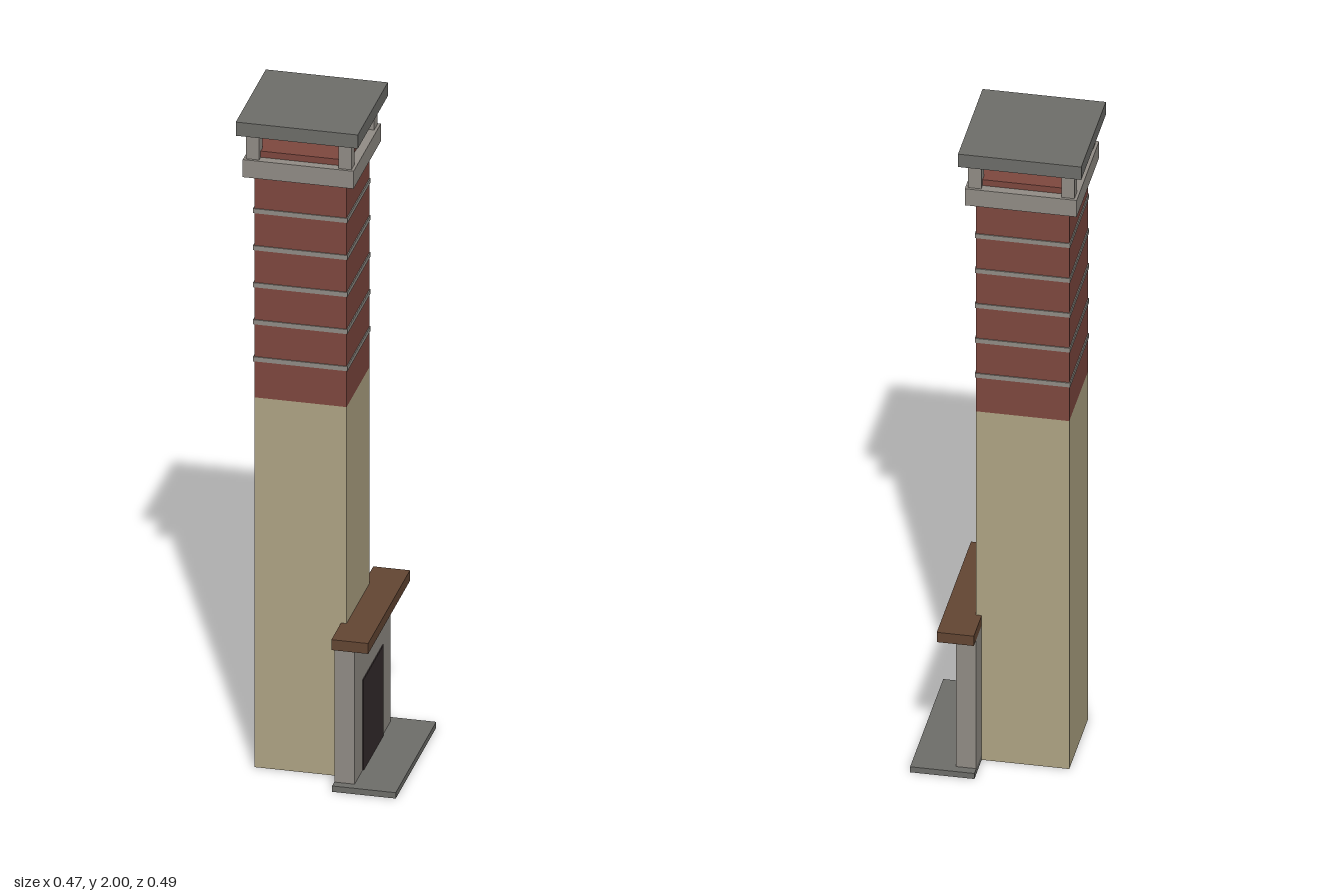
import * as THREE from 'three';

const material = (name, color) => {
  const m = new THREE.MeshStandardMaterial({ color });
  m.name = name;
  return m;
};

export function createModel() {
  const model = new THREE.Group();
  model.name = 'chimneyWithFireplace';

  const plaster = material('plaster', 0xb0a585);
  const brick = material('brick', 0x7f483f);
  const stone = material('paleStone', 0x928d86);
  const slab = material('darkStone', 0x6e6e6a);
  const wood = material('wood', 0x644633);
  const soot = material('soot', 0x352c2d);

  // Box given by its limits on x and y and its centred depth on z
  const box = (name, mat, x0, x1, y0, y1, depth, z = 0) => {
    const mesh = new THREE.Mesh(new THREE.BoxGeometry(x1 - x0, y1 - y0, depth), mat);
    mesh.position.set((x0 + x1) / 2, (y0 + y1) / 2, z);
    mesh.name = name;
    model.add(mesh);
  };

  // Square block centred on the stack
  const cx = -0.063;
  const block = (name, mat, size, y0, y1) =>
    box(name, mat, cx - size / 2, cx + size / 2, y0, y1, size);

  // Stack: plastered base, brick shaft and mortar bands
  block('plasteredStack', plaster, 0.264, 0, 1.138);
  block('brickShaft', brick, 0.264, 1.138, 1.898);
  for (let i = 0; i < 5; i++) {
    const y = 1.257 + i * 0.114;
    block('mortarBand', stone, 0.27, y - 0.007, y + 0.007);
  }

  // Crown: collar, corner posts and cap slab
  block('collar', stone, 0.317, 1.825, 1.879);
  for (const sx of [-1, 1]) {
    for (const sz of [-1, 1]) {
      const x = cx + sx * 0.132;
      box('capPost', stone, x - 0.0185, x + 0.0185, 1.879, 1.958, 0.037, sz * 0.132);
    }
  }
  block('capSlab', slab, 0.349, 1.958, 2);

  // Fireplace on the left side of the stack
  box('hearth', slab, 0.053, 0.235, 0, 0.018, 0.47);
  box('surround', stone, 0.053, 0.111, 0.018, 0.44, 0.418);
  box('fireOpening', soot, 0.108, 0.114, 0.018, 0.297, 0.232);
  box('mantel', wood, 0.053, 0.158, 0.44, 0.472, 0.486);

  return model;
}
